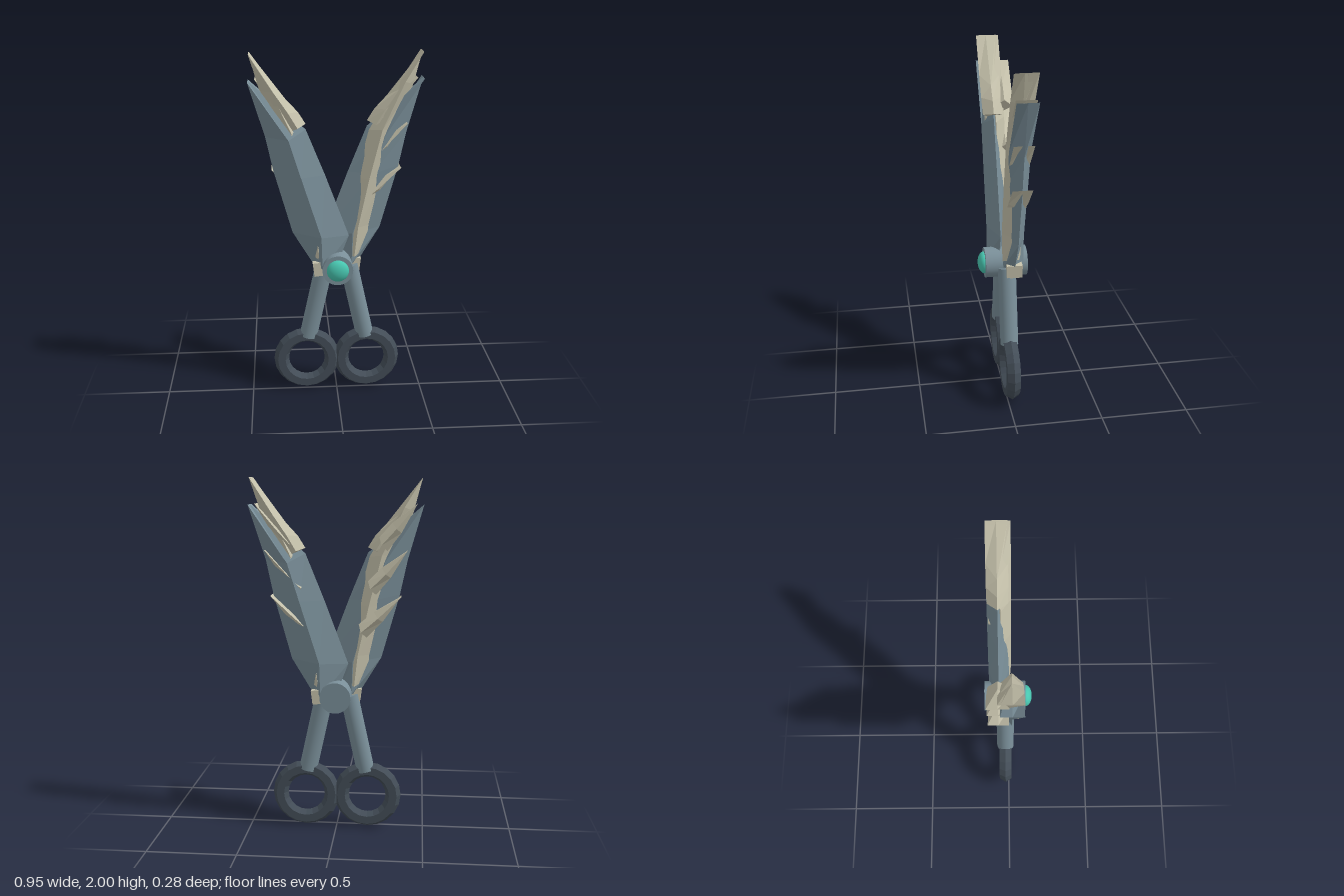
import * as THREE from 'three';

const mat = (name, color) => {
  const m = new THREE.MeshStandardMaterial({ color });
  m.name = name;
  return m;
};

// Faceted diamond-section loft. Each row: outer x,y, ridge x,y, inner x,y, half thickness.
function diamondLoft(rows, z = 0) {
  const rings = rows.map(([ox, oy, rx, ry, ix, iy, h]) => [
    [ox, oy, z], [rx, ry, z + h], [ix, iy, z], [rx, ry, z - h],
  ]);
  const pos = [];
  const tri = (a, b, c) => pos.push(...a, ...b, ...c);
  const base = rings[0];
  tri(base[0], base[1], base[2]);
  tri(base[0], base[2], base[3]);
  for (let r = 0; r < rings.length - 1; r++) {
    for (let i = 0; i < 4; i++) {
      const j = (i + 1) % 4;
      tri(rings[r][i], rings[r + 1][i], rings[r][j]);
      tri(rings[r][j], rings[r + 1][i], rings[r + 1][j]);
    }
  }
  const g = new THREE.BufferGeometry();
  g.setAttribute('position', new THREE.Float32BufferAttribute(pos, 3));
  g.computeVertexNormals();
  return g;
}

// The tip is a short edge running through the thickness.
const tip = (x, y, h) => [x, y, x, y, x, y, h];

export function createModel() {
  const model = new THREE.Group();
  const steel = mat('blue grey steel', 0x7a8f99);
  const bone = mat('pale bone', 0xc6c2ac);
  const dark = mat('dark grip', 0x434d57);
  const teal = mat('teal gem', 0x48c6b0);

  const add = (parent, name, geo, material) => {
    const m = new THREE.Mesh(geo, material);
    m.name = name;
    parent.add(m);
    return m;
  };

  const midZ = -0.02;
  const bladeH = 0.058;

  const bladeGeo = diamondLoft([
    [0.127, 0.795, 0.085, 0.795, 0.0, 0.795, bladeH],
    [0.25, 1.0, 0.09, 0.98, -0.068, 0.975, bladeH],
    [0.35, 1.36, 0.2, 1.33, 0.065, 1.33, bladeH],
    [0.39, 1.55, 0.265, 1.54, 0.17, 1.59, bladeH],
    tip(0.476, 1.855, bladeH),
  ]);

  // Bone spine lying along the blade, set slightly toward one face
  const spineGeo = diamondLoft([
    [0.16, 0.87, 0.1, 0.84, 0.03, 0.87, 0.05],
    [0.2, 1.02, 0.12, 1.02, 0.06, 1.0, 0.057],
    [0.27, 1.3, 0.18, 1.3, 0.11, 1.3, 0.057],
    [0.34, 1.58, 0.25, 1.58, 0.18, 1.57, 0.056],
    [0.42, 1.82, 0.37, 1.84, 0.31, 1.79, 0.055],
    tip(0.465, 1.998, 0.055),
  ], 0.015);

  // Hooked bone head at the end of the spine
  const headGeo = diamondLoft([
    [0.27, 1.57, 0.215, 1.605, 0.17, 1.62, 0.055],
    [0.34, 1.66, 0.265, 1.69, 0.21, 1.685, 0.057],
    [0.41, 1.8, 0.34, 1.8, 0.275, 1.755, 0.057],
    tip(0.467, 2.0, 0.056),
  ]);

  // Back-swept spikes: base point and tip point
  const spikes = [
    [0.14, 1.16, 0.36, 1.36],
    [0.19, 1.4, 0.39, 1.61],
    [0.25, 1.64, 0.44, 1.86],
  ];
  const spikeGeo = ([x, y, tx, ty]) => {
    const mx = x + (tx - x) * 0.42, my = y + (ty - y) * 0.4;
    return diamondLoft([
      [x + 0.03, y - 0.035, x, y, x - 0.015, y + 0.04, 0.05],
      [mx + 0.025, my - 0.025, mx, my, mx - 0.025, my + 0.03, 0.055],
      tip(tx, ty, 0.055),
    ]);
  };

  // The two halves are half-turn copies; spikes share one depth layer
  for (const side of [1, -1]) {
    const half = new THREE.Group();
    half.name = side > 0 ? 'leftBlade' : 'rightBlade';
    half.position.z = midZ - side * 0.035;
    if (side < 0) half.rotation.y = Math.PI;
    add(half, 'steelBlade', bladeGeo, steel);
    add(half, 'boneSpine', spineGeo, bone);
    add(half, 'boneHead', headGeo, bone);
    const stub = add(half, 'boneTang', new THREE.BoxGeometry(0.055, 0.08, 0.09), bone);
    stub.position.set(0.108, 0.787, 0);
    stub.rotation.z = -0.12;
    for (const s of spikes) {
      add(half, 'boneSpike', spikeGeo(s), bone).position.z = side > 0 ? 0 : 0.07;
    }
    model.add(half);

    // Round handle shaft
    const a = new THREE.Vector3(side * 0.167, 0.34, midZ);
    const b = new THREE.Vector3(side * 0.07, 0.785, midZ);
    const shaft = add(model, 'handleShaft',
      new THREE.CylinderGeometry(0.052, 0.052, a.distanceTo(b), 24), steel);
    shaft.position.copy(a).lerp(b, 0.5);
    shaft.quaternion.setFromUnitVectors(new THREE.Vector3(0, 1, 0), b.clone().sub(a).normalize());

    // Faceted finger ring
    const ringGeo = new THREE.TorusGeometry(0.15, 0.044, 6, 20).toNonIndexed();
    ringGeo.computeVertexNormals();
    add(model, 'fingerRing', ringGeo, dark).position.set(side * 0.177, 0.196, midZ);
  }

  // Pivot pin and its gem
  const pin = add(model, 'pivotPin', new THREE.CylinderGeometry(0.087, 0.087, 0.24, 32), steel);
  pin.rotation.x = Math.PI / 2;
  pin.position.set(0, 0.793, -0.02);
  const gem = add(model, 'gem', new THREE.SphereGeometry(0.063, 28, 18), teal);
  gem.scale.z = 0.6;
  gem.position.set(0, 0.793, 0.1);

  return model;
}
